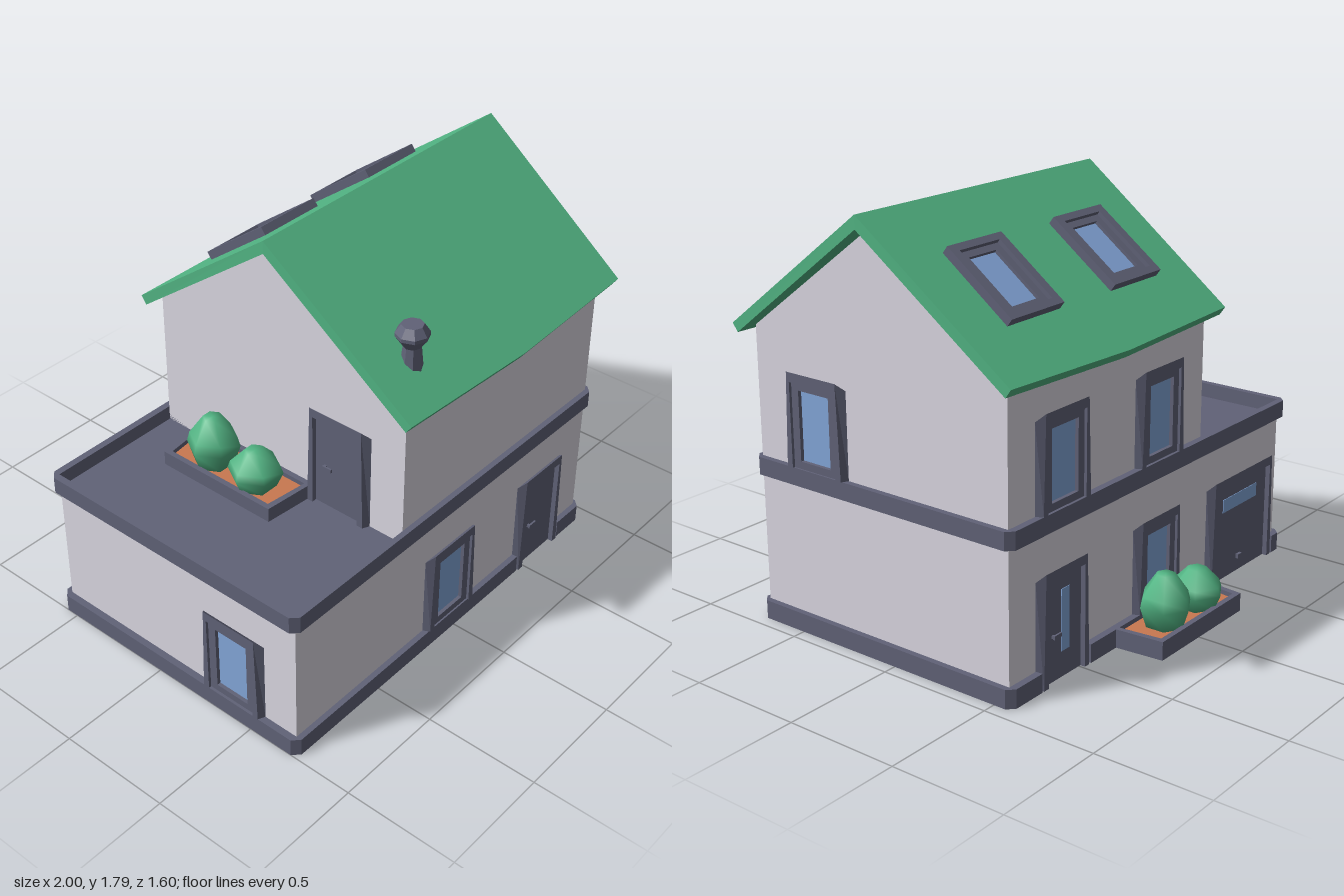
import * as THREE from 'three';

const mat = (name, color, extra = {}) => Object.assign(new THREE.MeshStandardMaterial({ color, ...extra }), { name });

export function createModel() {
  const wall = mat('wall plaster', 0xdad7e1);
  const trim = mat('slate trim', 0x606277, { side: THREE.DoubleSide });
  const green = mat('green', 0x52b584);
  const glass = mat('window glass', 0x83a6d9);
  const soil = mat('terracotta soil', 0xc87850);
  const house = new THREE.Group();
  house.name = 'house';

  const add = (parent, name, geo, material, x = 0, y = 0, z = 0) => {
    const m = new THREE.Mesh(geo, material);
    m.name = name;
    m.position.set(x, y, z);
    parent.add(m);
    return m;
  };
  const box = (w, h, d) => new THREE.BoxGeometry(w, h, d);
  const poly = pts => new THREE.Shape(pts.map(p => new THREE.Vector2(...p)));
  // Extrude a plan outline (x, z) between two heights
  const slab = (shape, y0, y1) => new THREE.ExtrudeGeometry(shape, { depth: y1 - y0, bevelEnabled: false })
    .rotateX(Math.PI / 2).translate(0, y1, 0);
  const group = (name, x, y, z, turn = 0) => {
    const g = new THREE.Group();
    g.name = name;
    g.position.set(x, y, z);
    g.rotation.y = turn;
    house.add(g);
    return g;
  };
  // Flat-shaded skin between successive rows of points
  const skin = rows => {
    const pos = [];
    for (let i = 0; i < rows.length - 1; i++)
      for (let j = 0; j < rows[i].length - 1; j++) {
        const a = rows[i][j], b = rows[i][j + 1], c = rows[i + 1][j + 1], d = rows[i + 1][j];
        pos.push(...a, ...b, ...c, ...a, ...c, ...d);
      }
    const g = new THREE.BufferGeometry();
    g.setAttribute('position', new THREE.Float32BufferAttribute(pos, 3));
    g.computeVertexNormals();
    return g;
  };

  // Walls
  const X0 = -0.97, X1 = 0.92, Z0 = -0.555, Z1 = 0.715, XU = -0.345;
  add(house, 'lowerWalls', box(X1 - X0, 0.63, Z1 - Z0), wall, (X0 + X1) / 2, 0.32, (Z0 + Z1) / 2);
  const gable = poly([[-Z1, 0.64], [-Z0, 0.64], [-Z0, 1.255], [-0.08, 1.73], [-Z1, 1.255]]);
  add(house, 'upperWalls', new THREE.ExtrudeGeometry(gable, { depth: X1 - XU, bevelEnabled: false })
    .rotateY(Math.PI / 2), wall, XU);

  // Plinth, notched around each door
  const ox0 = -1, ox1 = 0.945, oz0 = -0.585, oz1 = 0.74, c = 0.03;
  const plinth = poly([
    [ox0 + c, oz0], [-0.92, oz0], [-0.92, Z0], [-0.41, Z0], [-0.41, oz0], [0.45, oz0], [0.45, Z0], [0.76, Z0], [0.76, oz0],
    [ox1 - c, oz0], [ox1, oz0 + c], [ox1, oz1 - c], [ox1 - c, oz1],
    [0.76, oz1], [0.76, Z1], [0.45, Z1], [0.45, oz1], [ox0 + c, oz1], [ox0, oz1 - c], [ox0, oz0 + c],
  ]);
  add(house, 'plinth', slab(plinth, 0, 0.08), trim);

  // Storey band that doubles as the terrace parapet
  const band = poly([[ox0 + c, oz0], [ox1 - c, oz0], [ox1, oz0 + c], [ox1, oz1 - c],
    [ox1 - c, oz1], [ox0 + c, oz1], [ox0, oz1 - c], [ox0, oz0 + c]]);
  band.holes.push(poly([[X0, Z0], [X0, Z1], [XU, Z1], [XU, Z0]]));
  add(house, 'storeyBand', slab(band, 0.635, 0.71), trim);
  add(house, 'terraceFloor', box(XU - X0, 0.012, Z1 - Z0), trim, (X0 + XU) / 2, 0.64, (Z0 + Z1) / 2);

  // Roof: sections along x, with eaves that bow out in the middle
  const sections = [-1, 0, 1].map(s => {
    const e = 0.7 + (s ? 0 : 0.018), drop = s ? 0 : 0.014;
    const top = 0.29 + s * 0.71, end = 0.29 + s * 0.69;
    return [[top, 1.79, 0.08], [end, 1.265 - drop, 0.08 + e], [end, 1.23 - drop, 0.055 + e],
      [top, 1.735, 0.08], [end, 1.23 - drop, 0.105 - e], [end, 1.265 - drop, 0.08 - e], [top, 1.79, 0.08]];
  });
  add(house, 'roof', skin(sections), green);
  for (const [i, s] of [sections[0], sections[2]].entries())
    for (const corners of [[0, 1, 2, 3], [0, 3, 4, 5]]) {
      const q = corners.map(k => s[k]);
      add(house, 'roofEnd', skin(i ? [[q[0], q[1]], [q[3], q[2]]] : [[q[0], q[3]], [q[1], q[2]]]), green);
    }

  // Flared arch frame standing on a wall, open at the foot
  const frame = (w, h) => {
    const arch = (half, foot, top, z) => [[foot, 0, z], [half, top, z], [-half, top, z], [-foot, 0, z]];
    const r = w / 2, n = r - 0.042;
    return skin([arch(r, r, h - 0.03, 0), arch(r - 0.028, r - 0.014, h, 0.03),
      arch(n, n, h - 0.04, 0.03), arch(n, n, h - 0.04, 0)]);
  };
  // Rectangular ring, centred, with a given bar width
  const ring = (w, h, bx, by, depth) => {
    const rect = (a, b) => poly([[-a, -b], [a, -b], [a, b], [-a, b]]);
    const s = rect(w / 2, h / 2);
    s.holes.push(rect(w / 2 - bx, h / 2 - by));
    return new THREE.ExtrudeGeometry(s, { depth, bevelEnabled: false });
  };

  const addWindow = (...place) => {
    const g = group('window', ...place), h = 0.395;
    add(g, 'windowFrame', frame(0.318, h), trim);
    add(g, 'windowSash', ring(0.235, h - 0.04, 0.037, 0.031, 0.018), trim, 0, (h - 0.04) / 2, 0);
    add(g, 'windowPane', box(0.17, 0.30, 0.004), glass, 0, 0.178, 0);
  };
  const addDoor = (h, w, ...place) => {
    const g = group('door', ...place);
    add(g, 'doorFrame', frame(w, h), trim);
    add(g, 'doorLeaf', box(w - 0.08, h - 0.04, 0.016), trim, 0, (h - 0.04) / 2, 0);
    return g;
  };
  const addHandle = g => {
    add(g, 'doorHandle', box(0.045, 0.016, 0.008), trim, -0.048, 0.192, 0.02);
    add(g, 'handleStem', box(0.012, 0.012, 0.016), trim, -0.064, 0.192, 0.012);
  };
  const BACK = Math.PI, LEFT = Math.PI / 2, RIGHT = -Math.PI / 2;
  const A = -0.027, B = 0.605, C = 0.395;

  // Windows
  addWindow(A, 0.08, Z1);
  addWindow(A, 0.08, Z0, BACK);
  addWindow(A, 0.71, Z0, BACK);
  addWindow(B, 0.71, Z0, BACK);
  addWindow(X1, 0.71, C, LEFT);
  addWindow(X0, 0.08, C, RIGHT);

  // Doors
  addHandle(addDoor(0.475, 0.314, B, 0, Z1));
  const backDoor = addDoor(0.475, 0.314, B, 0, Z0, BACK);
  addHandle(backDoor);
  add(backDoor, 'doorPane', box(0.05, 0.26, 0.005), glass, 0.015, 0.24, 0.008);
  addHandle(addDoor(0.457, 0.314, XU, 0.645, C, RIGHT));
  const garage = addDoor(0.475, 0.514, -0.665, 0, Z0, BACK);
  add(garage, 'garagePane', box(0.27, 0.06, 0.005), glass, 0, 0.34, 0.008);
  add(garage, 'garageHandle', box(0.03, 0.02, 0.015), trim, 0, 0.07, 0.014);

  // Skylights on the rear slope
  for (const x of [A, B]) {
    const g = group('skylight', x, 1.522, -0.277);
    g.quaternion.setFromRotationMatrix(new THREE.Matrix4().makeBasis(
      new THREE.Vector3(-1, 0, 0), new THREE.Vector3(0, 0.6, 0.8), new THREE.Vector3(0, 0.8, -0.6)));
    add(g, 'skylightFrame', ring(0.31, 0.375, 0.04, 0.032, 0.04), trim, 0, 0, -0.004);
    add(g, 'skylightSash', ring(0.23, 0.312, 0.035, 0.03, 0.022), trim, 0, 0, -0.004);
    add(g, 'skylightPane', box(0.17, 0.26, 0.008), glass);
  }

  // Chimney pot
  const pot = [[0, 1.34], [0.047, 1.34], [0.036, 1.45], [0.068, 1.495], [0.068, 1.51], [0.044, 1.545], [0, 1.545]];
  const potGeo = new THREE.LatheGeometry(pot.map(p => new THREE.Vector2(...p)), 8).toNonIndexed();
  potGeo.computeVertexNormals();
  add(house, 'chimneyPot', potGeo, trim, -0.195, 0, 0.615);

  // Planters with a tall and a low bush
  const bush = (r, h) => {
    const p = [[0, 0], [0.75, 0], [1, 0.4], [0.9, 0.6], [0.36, 1], [0, 1]];
    return new THREE.LatheGeometry(p.map(([a, b]) => new THREE.Vector2(a * r, b * h)), 6);
  };
  const addPlanter = (h, ...place) => {
    const g = group('planter', ...place);
    const outline = (i, d) => poly([[-0.31 + i, i], [0.31 - i, i], [0.288 - i, d - i], [-0.288 + i, d - i]]);
    const rim = outline(0, 0.24);
    rim.holes.push(outline(0.024, 0.24));
    add(g, 'planterBox', slab(rim, 0, h), trim);
    add(g, 'planterSoil', slab(outline(0.022, 0.24), 0.004, h - 0.02), soil);
    add(g, 'planterBase', slab(outline(0.001, 0.24), 0, 0.004), trim);
    add(g, 'tallBush', bush(0.112, 0.22), green, -0.11, h - 0.02, 0.13);
    add(g, 'lowBush', bush(0.115, 0.165), green, 0.12, h - 0.02, 0.13);
  };
  addPlanter(0.08, -0.025, 0, Z0, BACK);
  addPlanter(0.065, XU, 0.645, -0.055, RIGHT);

  return house;
}
